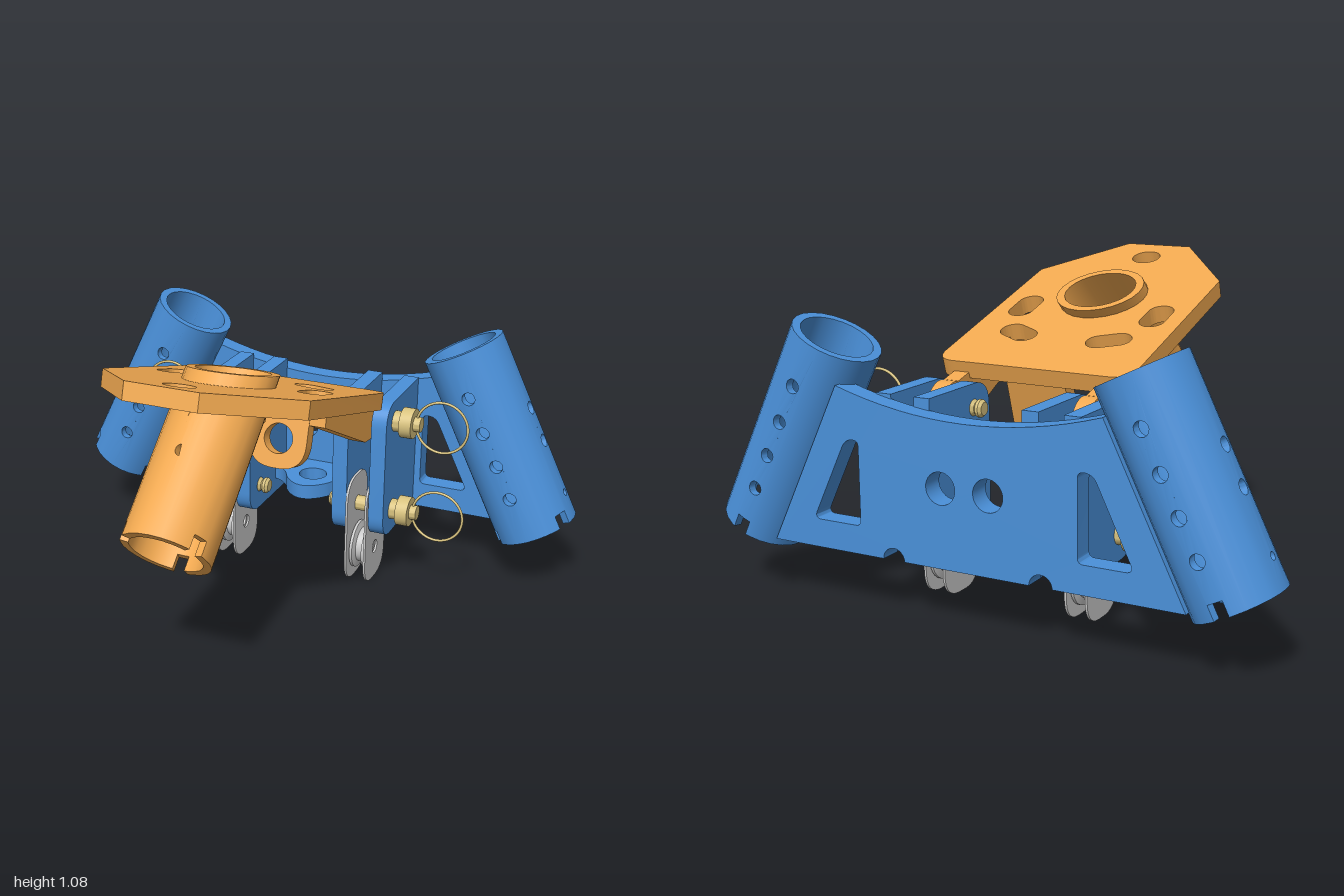
import * as THREE from 'three';
import { mergeGeometries, toCreasedNormals } from 'three/addons/utils/BufferGeometryUtils.js';

const mat = (color) => new THREE.MeshStandardMaterial({ color });
const blue = mat(0x4a90d9), orange = mat(0xf0a850), brass = mat(0xd9c37f), grey = mat(0xcccccc);
const { PI, sin, cos, sign } = Math;

function add(parent, name, geo, material, x = 0, y = 0, z = 0) {
  const m = new THREE.Mesh(geo, material);
  m.name = name;
  m.position.set(x, y, z);
  parent.add(m);
  return m;
}

// Polygon of [x, y, cornerRadius] with rounded corners
function rounded(pts, path = new THREE.Shape()) {
  const v = pts.map((p) => new THREE.Vector2(p[0], p[1]));
  const n = v.length;
  v.forEach((p, i) => {
    const r = pts[i][2] || 0;
    const toward = (q) => q.clone().sub(p).setLength(r).add(p);
    const a = toward(v[(i + n - 1) % n]), b = toward(v[(i + 1) % n]);
    if (i === 0) path.moveTo(a.x, a.y); else path.lineTo(a.x, a.y);
    if (r) path.quadraticCurveTo(p.x, p.y, b.x, b.y);
  });
  path.closePath();
  return path;
}

function circle(x, y, rx, ry = rx) {
  return new THREE.Path().absellipse(x, y, rx, ry, 0, PI * 2);
}

function slot(x, y, len, r, ang) {
  const dx = cos(ang) * len / 2, dy = sin(ang) * len / 2;
  return new THREE.Path()
    .absarc(x + dx, y + dy, r, ang - PI / 2, ang + PI / 2)
    .absarc(x - dx, y - dy, r, ang + PI / 2, ang + PI * 1.5);
}

function ext(shape, depth) {
  const g = new THREE.ExtrudeGeometry(shape, { depth, bevelEnabled: false, curveSegments: 16 });
  return toCreasedNormals(g, 0.6);
}

// Shape drawn in (z, y), given a width centred along x
const sideways = (shape, w) => ext(shape, w).translate(0, 0, -w / 2).rotateY(-PI / 2);
// Shape drawn in (x, z), lying flat with its top at y = 0
const flat = (shape, w) => ext(shape, w).rotateX(PI / 2);

// Drilled pipe along y: bent strips, with holes and foot notches cut in strip edges.
// holes: { angleInDegrees: [[height, radius], ...] }; slope tilts the top cut.
function pipe(len, holes, slope = 0) {
  const R = 0.15, wall = 0.028, strips = [];
  for (let deg = 0; deg < 360; deg += 30) {
    for (const s of [-1, 1]) {
      const w = s * R * PI / 12;
      const notch = deg % 120 === 60;
      const pts = notch ? [[0, 0.05], [s * 0.025, 0.05], [s * 0.025, 0]] : [[0, 0]];
      pts.push([w, 0], [w, len], [0, len]);
      for (const [h, r] of holes[deg] || []) {
        for (let i = 0; i <= 10; i++) pts.push([s * r * sin(PI * i / 10), h + r * cos(PI * i / 10)]);
      }
      const shape = new THREE.Shape(pts.map((p) => new THREE.Vector2(p[0], p[1])));
      const g = new THREE.ExtrudeGeometry(shape, { depth: wall, bevelEnabled: false });
      const p = g.attributes.position;
      for (let i = 0; i < p.count; i++) {
        const a = p.getX(i) / R + deg * PI / 180, r = R - wall + p.getZ(i);
        const v = p.getY(i);
        p.setXYZ(i, r * sin(a), v > len - 1e-4 ? v - slope * r * cos(a) : v, r * cos(a));
      }
      strips.push(g);
    }
  }
  return toCreasedNormals(mergeGeometries(strips), 0.5);
}

function lathe(profile) {
  const g = new THREE.LatheGeometry(profile.map((p) => new THREE.Vector2(p[0], p[1])), 32);
  return toCreasedNormals(g.rotateZ(-PI / 2), 0.6);
}

function buildFrame(root) {
  const frame = new THREE.Group();
  frame.name = 'frame';
  root.add(frame);

  // Back plate with a hollowed top edge, windows and bottom notches
  const s = new THREE.Shape();
  s.moveTo(-0.738, 0.2);
  for (const x of [-0.265, 0.265]) {
    s.lineTo(x - 0.04, 0.2);
    s.absarc(x, 0.2, 0.04, PI, 0, true);
  }
  s.lineTo(0.738, 0.2);
  s.lineTo(0.471, 0.745);
  s.quadraticCurveTo(0, 0.6, -0.471, 0.745);
  s.closePath();
  for (const k of [-1, 1]) {
    s.holes.push(circle(k * 0.085, 0.46, 0.053));
    s.holes.push(rounded([[k * 0.39, 0.295, 0.02], [k * 0.575, 0.295, 0.03],
      [k * 0.44, 0.575, 0.03], [k * 0.39, 0.575, 0.02]], new THREE.Path()));
  }
  add(frame, 'backPlate', ext(s, 0.075), blue, 0, 0, -0.73);

  // Shelf with a rounded nose
  const shelf = new THREE.Shape();
  shelf.moveTo(-0.165, -0.66);
  shelf.lineTo(-0.165, -0.545);
  shelf.quadraticCurveTo(-0.115, -0.535, -0.085, -0.47);
  shelf.quadraticCurveTo(0, -0.35, 0.085, -0.47);
  shelf.quadraticCurveTo(0.115, -0.535, 0.165, -0.545);
  shelf.lineTo(0.165, -0.66);
  shelf.holes.push(circle(0, -0.53, 0.053));
  add(frame, 'shelf', flat(shelf, 0.055), blue, 0, 0.315, 0);

  const lug = rounded([[-0.66, 0.2], [-0.305, 0.2, 0.09], [-0.305, 0.72, 0.09], [-0.66, 0.72]]);
  const lugGeo = sideways(lug, 0.057);
  const through = [[0.572, 0.024], [0.435, 0.024], [0.304, 0.024], [0.173, 0.024]];
  const across = [[0.44, 0.024], [0.31, 0.024], [0.1, 0.013]];
  const socketGeo = pipe(0.73, { 0: through, 180: through, 90: across, 270: across });
  for (const k of [-1, 1]) {
    for (const x of [0.337, 0.194]) add(frame, 'lug', lugGeo, blue, k * x, 0, 0);
    add(frame, 'legSocket', socketGeo, blue, k * 0.861, 0.222, -0.62).rotation.z = k * 0.456;
  }
}

function buildHead(root) {
  const head = new THREE.Group();
  head.name = 'tiltingHead';
  root.add(head);

  // Sloping plate and the tab square to it
  const tilted = new THREE.Group();
  tilted.name = 'plateAssembly';
  tilted.position.y = 0.871;
  tilted.rotation.x = -0.294;
  head.add(tilted);
  const plate = rounded([[-0.36, -0.341, 0.07], [0.36, -0.341, 0.07], [0.36, 0.418],
    [0.125, 0.704], [-0.125, 0.704], [-0.36, 0.418]]);
  plate.holes.push(circle(0, 0.25, 0.137, 0.16), circle(0, 0.585, 0.052));
  for (const k of [-1, 1]) {
    plate.holes.push(slot(k * 0.172, -0.1, 0.066, 0.045, k * 0.45));
    plate.holes.push(slot(k * 0.255, 0.105, 0.075, 0.045, PI / 2));
  }
  add(tilted, 'plate', flat(plate, 0.06), orange);
  const tab = rounded([[-0.11, -0.05], [-0.11, -0.323, 0.1], [0.11, -0.323, 0.1], [0.11, -0.05]]);
  tab.holes.push(circle(0, -0.215, 0.055));
  add(tilted, 'eyeTab', ext(tab, 0.055), orange, 0, 0, -0.318);

  // Slanted socket, cut parallel to the plate
  const socket = pipe(0.663, { 0: [[0.29, 0.02], [0.41, 0.02]], 180: [[0.29, 0.02]] }, 0.62);
  add(head, 'mastSocket', socket, orange, 0, 0.5275, 0.6775).rotation.x = -0.848;

  // Rib between socket and plate
  const rib = rounded([[0.263, 0.664], [-0.015, 0.722], [-0.04, 0.81], [0.12, 0.86], [0.23, 0.78]]);
  add(head, 'rib', sideways(rib, 0.055), orange);

  // Hinge arms
  const arm = new THREE.Shape();
  arm.moveTo(0.105, 0.784);
  arm.lineTo(0.09, 0.85);
  arm.lineTo(-0.26, 0.75);
  arm.lineTo(-0.38, 0.718);
  arm.absarc(-0.4, 0.64, 0.08, 1.32, -2.0 + PI * 2, false);
  arm.lineTo(-0.29, 0.585);
  arm.closePath();
  const armGeo = sideways(arm, 0.057);
  for (const k of [-1, 1]) add(head, 'hingeArm', armGeo, orange, k * 0.265, 0, 0);
}

function buildPins(root) {
  // Profile of [radius, distance from the middle]
  const pinGeo = lathe([[0, 0.125], [0.022, 0.125], [0.03, 0.135], [0.03, 0.145], [0.02, 0.155],
    [0.028, 0.165], [0.028, 0.365], [0.038, 0.365], [0.038, 0.395], [0.055, 0.395],
    [0.055, 0.44], [0.027, 0.44], [0.027, 0.465], [0, 0.465]]);
  const ringGeo = new THREE.TorusGeometry(0.095, 0.005, 8, 48);
  for (const k of [-1, 1]) for (const y of [0.64, 0.293]) {
    const pin = new THREE.Group();
    pin.name = 'lockPin';
    pin.position.set(0, y, -0.4);
    pin.rotation.y = k < 0 ? PI : 0;
    root.add(pin);
    add(pin, 'pin', pinGeo, brass);
    add(pin, 'pullRing', ringGeo, brass, 0.54, 0, 0);
  }
}

function buildLinks(root) {
  const side = rounded([[-0.505, 0, 0.09], [-0.295, 0, 0.09], [-0.295, 0.41, 0.09], [-0.505, 0.41, 0.09]]);
  side.holes.push(circle(-0.4, 0.125, 0.025));
  const sideGeo = sideways(side, 0.008);
  const spoolGeo = lathe([[0.025, -0.028], [0.09, -0.028], [0.09, -0.018], [0.065, -0.012],
    [0.065, 0.012], [0.09, 0.018], [0.09, 0.028], [0.025, 0.028], [0.025, -0.028]]);
  for (const k of [-1, 1]) {
    const link = new THREE.Group();
    link.name = 'pulleyLink';
    link.position.x = k * 0.265;
    root.add(link);
    for (const x of [-0.037, 0.037]) add(link, 'linkPlate', sideGeo, grey, x, 0, 0);
    add(link, 'pulley', spoolGeo, grey, 0, 0.125, -0.4);
  }
}

export function createModel() {
  const root = new THREE.Group();
  root.name = 'tripodHead';
  buildFrame(root);
  buildHead(root);
  buildPins(root);
  buildLinks(root);
  return root;
}
